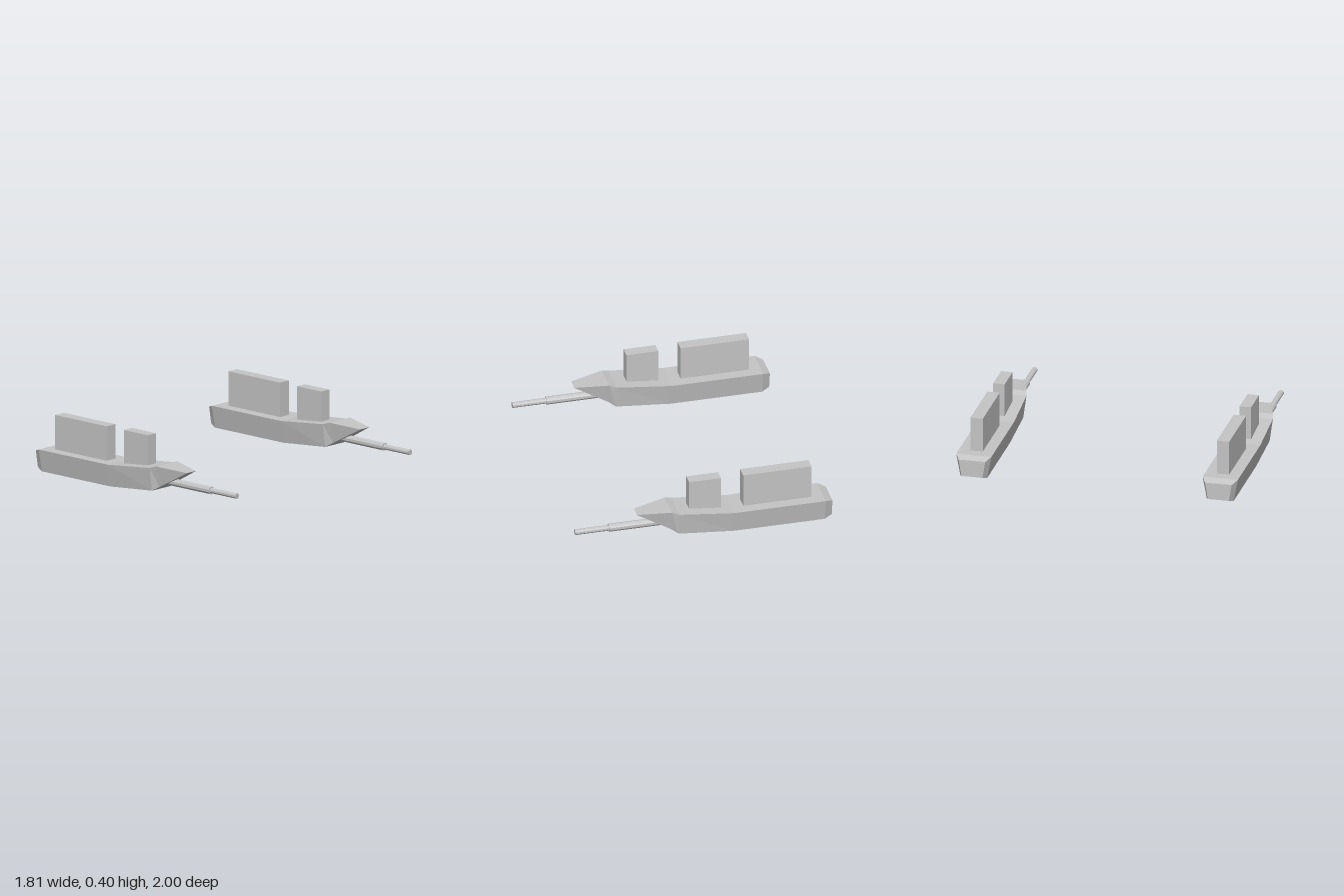
import * as THREE from 'three';

const steel = new THREE.MeshStandardMaterial({ color: 0xc4c4c4, flatShading: true });
steel.name = 'light steel grey';

// Hull stations: x, bottom y, bottom half width, top y, top half width
const stations = [
  [-0.905, 0.02, 0.075, 0.14, 0.095],
  [-0.85, 0, 0.095, 0.16, 0.125],
  [-0.2, 0, 0.095, 0.16, 0.125],
  [0.19, 0.035, 0.095, 0.2, 0.118],
  [0.24, 0.066, 0.07, 0.217, 0.105],
  [0.473, 0.196, 0.045, 0.198, 0.045],
];

// Four-sided hull lofted through the stations, closed at both ends
function hullGeometry() {
  const points = [];
  const faces = [];
  for (const [x, y0, w0, y1, w1] of stations) {
    points.push(x, y0, -w0, x, y0, w0, x, y1, w1, x, y1, -w1);
  }
  for (let i = 0; i < stations.length - 1; i++) {
    for (let j = 0; j < 4; j++) {
      const a = i * 4 + j;
      const b = i * 4 + (j + 1) % 4;
      faces.push(a, a + 4, b, a + 4, b + 4, b);
    }
  }
  const e = (stations.length - 1) * 4;
  faces.push(0, 1, 2, 0, 2, 3, e, e + 2, e + 1, e, e + 3, e + 2);
  const indexed = new THREE.BufferGeometry();
  indexed.setAttribute('position', new THREE.Float32BufferAttribute(points, 3));
  indexed.setIndex(faces);
  const geometry = indexed.toNonIndexed();
  geometry.computeVertexNormals();
  return geometry;
}

function add(group, name, geometry) {
  const mesh = new THREE.Mesh(geometry, steel);
  mesh.name = name;
  group.add(mesh);
}

// Upright mounting block between two x positions
function block(x0, x1, y0, y1, depth) {
  return new THREE.BoxGeometry(x1 - x0, y1 - y0, depth)
    .translate((x0 + x1) / 2, (y0 + y1) / 2, 0);
}

// Barrel section along x
function tube(x0, x1, radius) {
  return new THREE.CylinderGeometry(radius, radius, x1 - x0, 10)
    .rotateZ(-Math.PI / 2)
    .rotateX(Math.PI / 2)
    .translate((x0 + x1) / 2, 0.098, 0);
}

function createGun(name, z) {
  const gun = new THREE.Group();
  gun.name = name;
  add(gun, 'hull', hullGeometry());
  add(gun, 'rearMount', block(-0.77, -0.283, 0.15, 0.404, 0.088));
  add(gun, 'frontMount', block(-0.125, 0.102, 0.15, 0.404, 0.082));
  add(gun, 'barrelSleeve', tube(0.2, 0.665, 0.028));
  add(gun, 'barrel', tube(0.64, 0.905, 0.02));
  gun.position.z = z;
  return gun;
}

export function createModel() {
  const model = new THREE.Group();
  model.name = 'twinGunPods';
  model.add(createGun('frontGunPod', 0.875), createGun('backGunPod', -0.875));
  return model;
}
